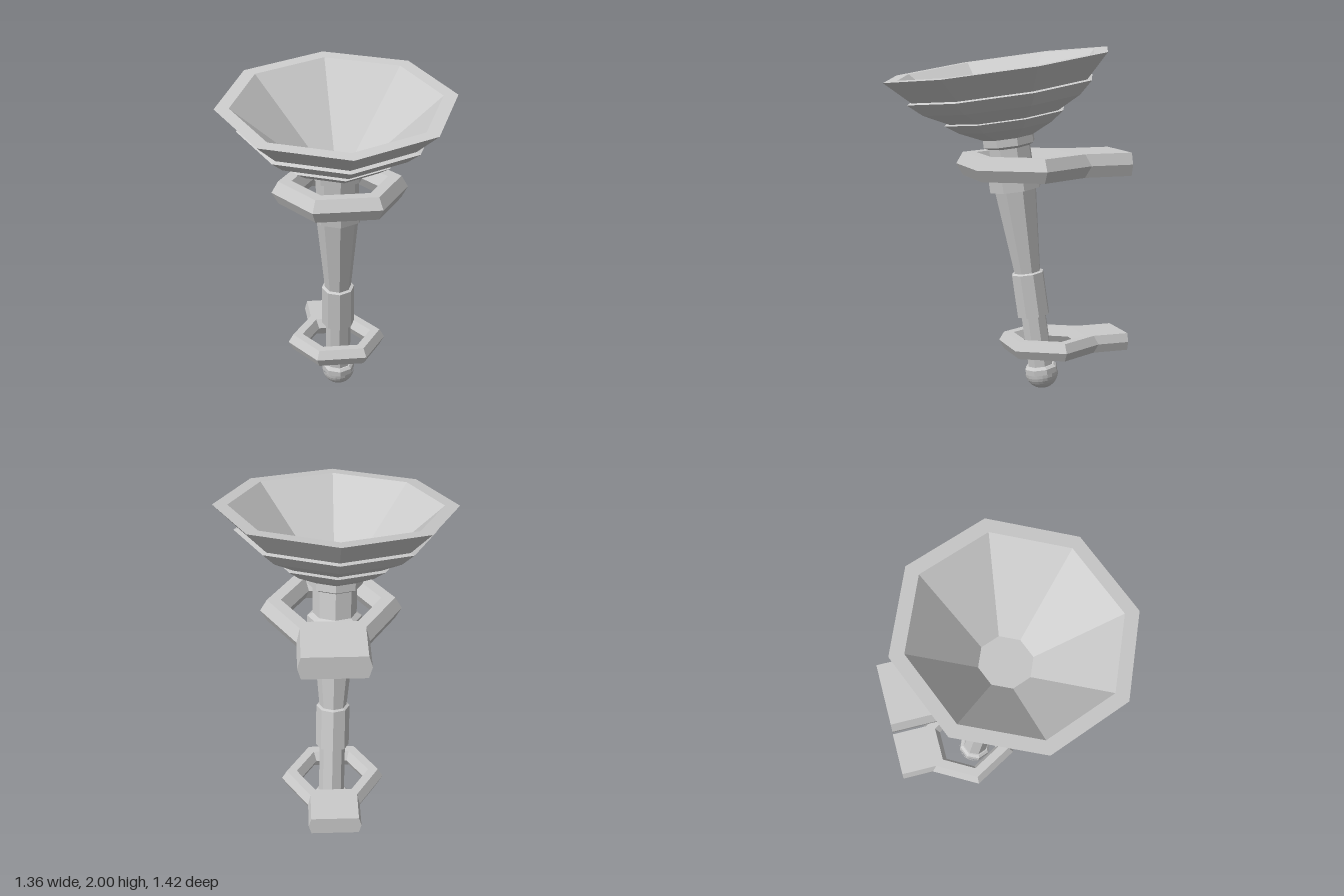
import * as THREE from 'three';

const material = new THREE.MeshStandardMaterial({ color: 0xcccccc, flatShading: true });

function part(name, geometry, parent) {
  const mesh = new THREE.Mesh(geometry, material);
  mesh.name = name;
  parent.add(mesh);
  return mesh;
}

// Eight-sided turned piece from [radius, height] pairs, bottom to top
function turned(name, profile, parent) {
  const points = profile.map(([r, y]) => new THREE.Vector2(r, y));
  return part(name, new THREE.LatheGeometry(points, 8).toNonIndexed(), parent);
}

// Six-sided ring with a hexagonal section, and a wall plate extending its back side
function bracket(name, radius, y, z, wallZ) {
  const group = new THREE.Group();
  group.name = name;
  group.position.set(0.028, y, z);

  const tube = radius * 0.197;
  const major = radius - tube;
  const halfHeight = tube * Math.sin(Math.PI / 3);
  const ring = part('bracketRing', new THREE.TorusGeometry(major, tube, 6, 6).toNonIndexed(), group);
  ring.rotation.x = Math.PI / 2;

  const mid = radius / 2;
  const edge = (major + tube / 2) / 2;
  const section = new THREE.Shape([
    [mid, 0], [edge, halfHeight], [-edge, halfHeight],
    [-mid, 0], [-edge, -halfHeight], [edge, -halfHeight],
  ].map(([px, py]) => new THREE.Vector2(px, py)));
  const start = -major * 0.866; // inside the back bar of the ring
  const depth = start - (wallZ - z);
  const plate = part('wallPlate', new THREE.ExtrudeGeometry(section, { depth, bevelEnabled: false }), group);
  plate.position.z = wallZ - z;
  return group;
}

export function createModel() {
  const model = new THREE.Group();
  model.name = 'wallTorch';

  // Leaning torch, with its origin at the centre of the ball
  const torch = new THREE.Group();
  torch.name = 'torch';
  torch.position.set(0.033, 0.1, -0.22);
  torch.rotation.set(THREE.MathUtils.degToRad(8.1), 0, THREE.MathUtils.degToRad(1.27));
  model.add(torch);

  part('endBall', new THREE.SphereGeometry(0.098, 20, 8, 0, Math.PI * 2, Math.PI / 2, Math.PI / 2).toNonIndexed(), torch);
  turned('endCollar', [[0, -0.005], [0.098, -0.005], [0.098, 0.03], [0.083, 0.045], [0.075, 0.045]], torch);
  turned('lowerShaft', [[0.075, 0.02], [0.075, 0.37]], torch);
  turned('grip', [[0.07, 0.35], [0.097, 0.35], [0.097, 0.605], [0.07, 0.615]], torch);
  turned('taperedShaft', [[0.078, 0.6], [0.127, 1.12]], torch);
  turned('lowerNeckCollar', [[0.12, 1.105], [0.155, 1.105], [0.155, 1.175], [0.122, 1.195]], torch);
  turned('neck', [[0.125, 1.17], [0.125, 1.37]], torch);
  turned('upperNeckCollar', [[0.12, 1.35], [0.155, 1.368], [0.155, 1.415], [0.12, 1.415]], torch);

  // Stepped bowl: three flared tiers outside, one plain cone inside
  turned('bowl', [
    [0.1, 1.412], [0.155, 1.412], [0.29, 1.477], [0.365, 1.531],
    [0.335, 1.535], [0.48, 1.61], [0.563, 1.683],
    [0.535, 1.69], [0.678, 1.827],
    [0.595, 1.827], [0.157, 1.43], [0, 1.43],
  ], torch);

  // Wall brackets
  model.add(bracket('upperBracket', 0.397, 1.333, -0.105, -0.705));
  model.add(bracket('lowerBracket', 0.298, 0.272, -0.265, -0.712));

  return model;
}
